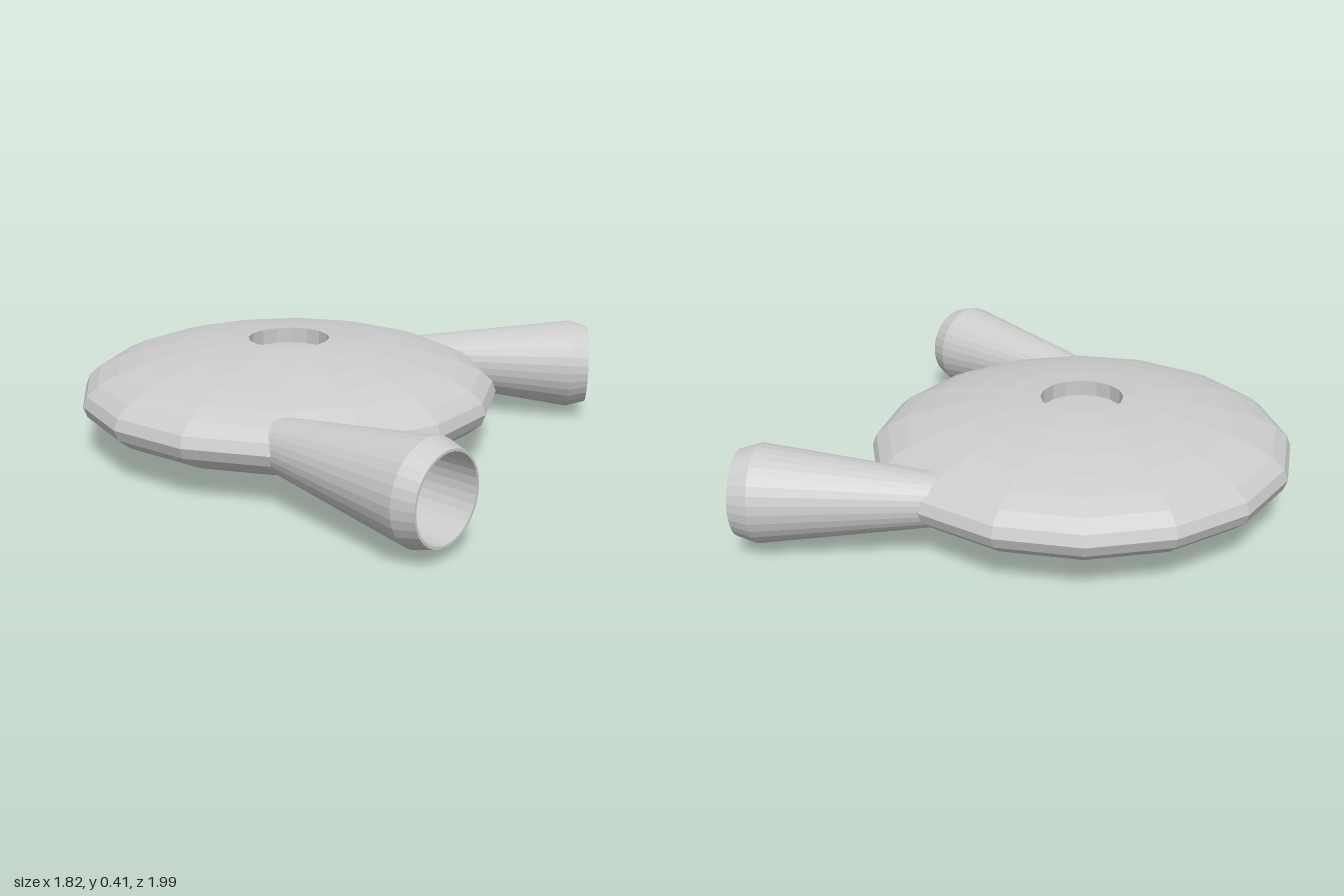
import * as THREE from 'three';

const material = new THREE.MeshStandardMaterial({ color: 0xcccccc, flatShading: true });

// Faceted solid of revolution from [radius, height] pairs, listed bottom to top.
function lathe(name, profile, sides) {
  const points = profile.map(([r, y]) => new THREE.Vector2(r, y));
  const mesh = new THREE.Mesh(new THREE.LatheGeometry(points, sides), material);
  mesh.name = name;
  return mesh;
}

export function createModel() {
  const model = new THREE.Group();
  model.name = 'saucerWithNozzles';

  // Flattened sphere whose top cap is replaced by a shallow round recess
  const radius = 0.808, half = 0.207, rings = 16;
  const profile = [];
  for (let i = 0; i < rings; i++) {
    const a = (i / rings) * Math.PI;
    profile.push([radius * Math.sin(a), half - half * Math.cos(a)]);
  }
  const rim = profile[rings - 1];
  profile.push([rim[0], rim[1] - 0.06], [0, rim[1] - 0.06]);
  const hull = lathe('hull', profile, 16);
  hull.position.x = -0.105;
  model.add(hull);

  // Two flared nozzles splayed outwards, each with a bevelled lip and a hollow end
  const splay = THREE.MathUtils.degToRad(18), length = 0.756;
  for (const side of [1, -1]) {
    const nozzle = lathe(side > 0 ? 'frontNozzle' : 'backNozzle', [
      [0, 0], [0.09, 0], [0.18, length - 0.075], [0.157, length],
      [0.148, length], [0.141, length - 0.24], [0, length - 0.24],
    ], 32);
    nozzle.rotation.set(0, -side * splay, -Math.PI / 2, 'YXZ');
    nozzle.position.set(
      0.861 - length * Math.cos(splay), 0.21,
      side * (0.848 - length * Math.sin(splay)));
    model.add(nozzle);
  }
  return model;
}
